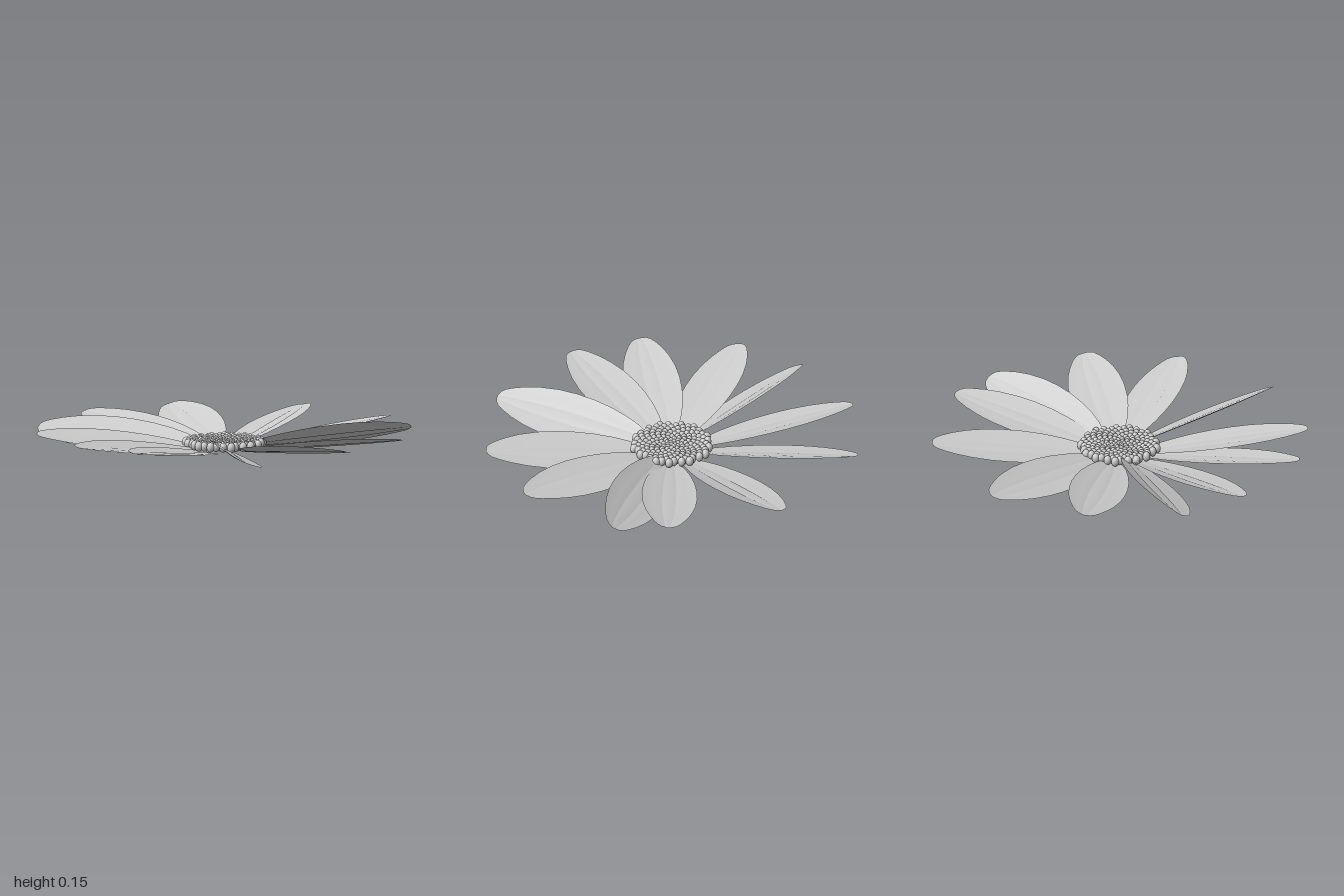
import * as THREE from 'three';

const grey = new THREE.MeshStandardMaterial({ color: 0xcccccc, side: THREE.DoubleSide });
grey.name = 'plain grey';

// Petal tips as [x, z, roll angle]
const PETALS = [
  [1.0, 0.04, 0.5], [0.82, 0.57, 0.2], [0.44, 0.89, 0.22], [-0.15, 0.995, 0.47],
  [-0.67, 0.735, 0.08], [-0.905, 0.43, 0.14], [-0.995, -0.085, 0.2], [-0.9, -0.445, 0.5],
  [-0.555, -0.83, 0.22], [-0.05, -1.0, 0.28], [0.62, -0.77, 0.18], [0.96, -0.245, 0.12],
];

// Half width along the petal: [fraction of length, half width]
const OUTLINE = [[0.14, 0.035], [0.17, 0.055], [0.22, 0.08], [0.3, 0.107], [0.4, 0.13], [0.5, 0.143],
  [0.6, 0.147], [0.7, 0.141], [0.8, 0.123], [0.88, 0.098], [0.94, 0.072], [0.975, 0.051], [0.992, 0.031], [1, 0.006]];

// Cross-section stations, with a narrow groove at +-0.25
const ACROSS = [-1, -0.8, -0.55, -0.29, -0.25, -0.21, 0, 0.21, 0.25, 0.29, 0.55, 0.8, 1];

function petalGeometry(length, roll) {
  const pos = [], index = [], n = ACROSS.length;
  OUTLINE.forEach(([t, w], i) => {
    // Flatter petals start lower and rise more steeply
    const axisY = 0.07 * roll + (0.14 - 0.13 * roll) * t;
    ACROSS.forEach((u, j) => {
      const groove = Math.abs(u) === 0.25 ? -0.025 * w : 0;
      const h = w * 0.1 * (u * u - 0.2) + groove;
      const s = u * w;
      pos.push(t * length, axisY + s * Math.sin(roll) + h * Math.cos(roll),
        s * Math.cos(roll) - h * Math.sin(roll));
      if (i < OUTLINE.length - 1 && j < n - 1) {
        const a = i * n + j;
        index.push(a, a + 1, a + n, a + 1, a + n + 1, a + n);
      }
    });
  });
  const g = new THREE.BufferGeometry();
  g.setAttribute('position', new THREE.Float32BufferAttribute(pos, 3));
  g.setIndex(index);
  g.computeVertexNormals();
  return g;
}

function createModel() {
  const flower = new THREE.Group();
  flower.name = 'flower';

  // Ring of tilted, cupped petals
  const petals = new THREE.Group();
  petals.name = 'petals';
  PETALS.forEach(([x, z, roll], i) => {
    const petal = new THREE.Mesh(petalGeometry(Math.hypot(x, z), roll), grey);
    petal.name = `petal${i + 1}`;
    petal.rotation.y = Math.atan2(-z, x);
    petals.add(petal);
  });
  flower.add(petals);

  // Spiral head of seeds, small in the middle and larger at the rim
  const head = new THREE.Group();
  head.name = 'seedHead';
  const seedShape = new THREE.SphereGeometry(1, 12, 8);
  const count = 170, golden = Math.PI * (3 - Math.sqrt(5));
  for (let i = 0; i < count; i++) {
    const t = (i + 0.5) / count;
    const r = 0.204 * Math.pow(t, 0.58), a = i * golden;
    const size = 0.0135 + 0.0075 * t;
    const seed = new THREE.Mesh(seedShape, grey);
    seed.name = 'seed';
    seed.position.set(r * Math.cos(a), 0.062, r * Math.sin(a));
    seed.scale.set(size, size * 1.3, size);
    head.add(seed);
  }
  flower.add(head);

  // Rest the lowest petal edge on the ground
  flower.updateMatrixWorld(true);
  flower.position.y = -new THREE.Box3().setFromObject(flower, true).min.y;
  return flower;
}

export { createModel };
